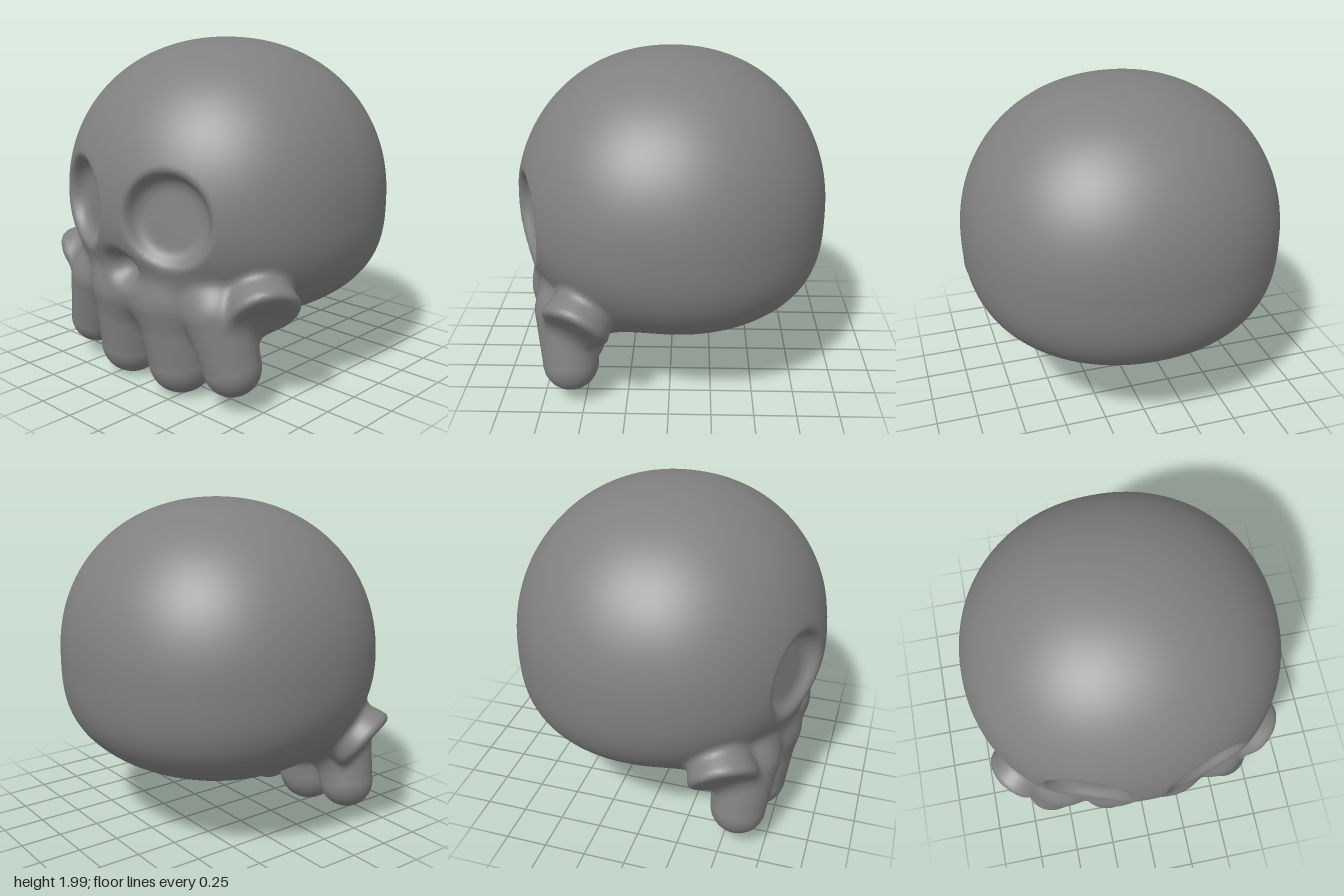
import * as THREE from 'three';

const V = (x, y, z) => new THREE.Vector3(x, y, z);

// Smooth blends of two distances
const smin = (a, b, k) => {
  const h = Math.max(k - Math.abs(a - b), 0) / k;
  return Math.min(a, b) - h * h * k * 0.25;
};
const smax = (a, b, k) => -smin(-a, -b, k);

// Basic forms; p is always on the +x half, the other half is mirrored
const ellipsoid = (p, c, r) => {
  const l = Math.hypot((p.x - c.x) / r.x, (p.y - c.y) / r.y, (p.z - c.z) / r.z);
  return (l - 1) * Math.min(r.x, r.y, r.z);
};
const capsule = (p, { a, b, r0, r1 }) => {
  const dx = b.x - a.x, dy = b.y - a.y, dz = b.z - a.z;
  const px = p.x - a.x, py = p.y - a.y, pz = p.z - a.z;
  const t = Math.min(1, Math.max(0, (px * dx + py * dy + pz * dz) / (dx * dx + dy * dy + dz * dz)));
  return Math.hypot(px - dx * t, py - dy * t, pz - dz * t) - (r0 + (r1 - r0) * t);
};
// Distance along an axis and away from it
const axial = (p, o, axis) => {
  const x = p.x - o.x, y = p.y - o.y, z = p.z - o.z;
  const t = x * axis.x + y * axis.y + z * axis.z;
  return [t, Math.sqrt(Math.max(0, x * x + y * y + z * z - t * t))];
};

// Round braincase with a flattened underside, fuller at the back
const cranium = (p) => {
  const v = (p.y - 1.07) / (p.y > 1.07 ? 0.93 : 0.735);
  const h = v > 0 ? Math.pow(v, 2.1) : Math.pow(-v, 2.55 - 0.6 * p.z);
  const r = Math.pow(p.x / 0.97, 2.1) + Math.pow(Math.abs(p.z) / 0.935, 2.1) + h;
  return (Math.pow(r, 1 / 2.1) - 1) * 0.85;
};

// Upper jaw and the gum behind the teeth
const JAW = [V(0, 0.6, 0.41), V(0.65, 0.27, 0.435)];
const GUM = [V(0, 0.51, 0.46), V(0.62, 0.19, 0.23)];
const jaw = (p) => smin(ellipsoid(p, ...JAW), ellipsoid(p, ...GUM), 0.06);

// Teeth, wider at the root
const INNER = { a: V(0.18, 0.55, 0.615), b: V(0.213, 0.195, 0.606), r0: 0.23, r1: 0.19 };
const OUTER = { a: V(0.5, 0.55, 0.595), b: V(0.587, 0.253, 0.58), r0: 0.195, r1: 0.165 };
const innerTooth = (p) => capsule(p, INNER);
const outerTooth = (p) => capsule(p, OUTER);

// Flared stub with a flat round end, facing out and down
const CHEEK_END = V(0.79, 0.575, 0.535);
const CHEEK_AXIS = V(0.68, -0.62, 0.38).normalize();
const cheekbone = (p) => {
  const [t, rho] = axial(p, CHEEK_END, CHEEK_AXIS);
  return smax(rho - 0.217 - 0.3 * t, Math.max(t, -0.3 - t), 0.06);
};

// Shallow socket with steep walls and a flat floor
const EYE_RIM = V(0.358, 1.078, 0.855);
const EYE_AXIS = V(0.375, 0.09, 0.92).normalize();
const eyeSocket = (p) => {
  const [t, rho] = axial(p, EYE_RIM, EYE_AXIS);
  return smax(rho - 0.253 - 0.15 * t, -0.11 - t, 0.09);
};
const NOSE = [V(0, 0.755, 0.89), V(0.11, 0.095, 0.14)];
const noseHole = (p) => ellipsoid(p, ...NOSE);

// The whole skull as one blended field: negative inside
const q = V(0, 0, 0);
function field(x, y, z) {
  q.set(Math.abs(x), y, z);
  let d = smin(cranium(q), jaw(q), 0.1);
  d = smin(d, smin(innerTooth(q), outerTooth(q), 0.025), 0.07);
  d = smin(d, cheekbone(q), 0.05);
  d = smax(d, -eyeSocket(q), 0.05);
  return smax(d, -noseHole(q), 0.07);
}

// Named parts; each face goes to the part whose surface it lies nearest to
const PARTS = {
  Cranium: cranium, Jaw: jaw, InnerTooth: innerTooth, OuterTooth: outerTooth, Cheekbone: cheekbone,
  EyeSocket: (p) => Math.abs(eyeSocket(p)) - 0.02,
  NoseHole: (p) => Math.abs(noseHole(p)) - 0.02,
};
function partAt(x, y, z) {
  q.set(Math.abs(x), y, z);
  let best = '', least = Infinity;
  for (const [name, dist] of Object.entries(PARTS)) {
    const d = dist(q);
    if (d < least) { least = d; best = name; }
  }
  return (x > 0 ? 'left' : 'right') + best;
}

// Wraps a smooth skin round the field: one vertex per crossed cell, one quad per crossed edge
function buildSkin() {
  const S = 0.02, O = [-1.02, -0.06, -1.0], N = [103, 106, 101];
  const step = [1, N[0], N[0] * N[1]];
  const total = N[0] * N[1] * N[2];
  const val = new Float32Array(total), cell = new Int32Array(total).fill(-1);
  const each = (fn) => {
    for (let k = 0, i = 0; k < N[2]; k++)
      for (let j = 0; j < N[1]; j++)
        for (let h = 0; h < N[0]; h++, i++) fn(i, [h, j, k]);
  };
  each((i, c) => { val[i] = field(...c.map((n, a) => O[a] + n * S)); });

  const pos = [], nor = [], parts = {}, e = 0.005;
  each((i, c) => {
    if (c.some((n, a) => n >= N[a] - 1)) return;
    const sum = [0, 0, 0];
    let hits = 0;
    for (let corner = 0; corner < 8; corner++) {
      const bits = [corner & 1, (corner >> 1) & 1, corner >> 2];
      const from = i + bits[0] * step[0] + bits[1] * step[1] + bits[2] * step[2];
      for (let a = 0; a < 3; a++) {
        if (bits[a]) continue;
        const v0 = val[from], v1 = val[from + step[a]];
        if (v0 < 0 === v1 < 0) continue;
        for (let b = 0; b < 3; b++) sum[b] += bits[b] + (b === a ? v0 / (v0 - v1) : 0);
        hits++;
      }
    }
    if (!hits) return;
    cell[i] = pos.length / 3;
    const [x, y, z] = sum.map((s, a) => O[a] + (c[a] + s / hits) * S);
    const n = V(field(x + e, y, z) - field(x - e, y, z), field(x, y + e, z) - field(x, y - e, z),
      field(x, y, z + e) - field(x, y, z - e)).normalize();
    pos.push(x, y, z);
    nor.push(n.x, n.y, n.z);
  });

  each((i, c) => {
    for (let a = 0; a < 3; a++) {
      const u = (a + 1) % 3, v = (a + 2) % 3;
      if (c[a] >= N[a] - 1 || !c[u] || !c[v]) continue;
      const inside = val[i] < 0;
      if (inside === val[i + step[a]] < 0) continue;
      const quad = [i - step[u] - step[v], i - step[v], i, i - step[u]].map((n) => cell[n]);
      if (!inside) quad.reverse();
      const [A, B, C, D] = quad;
      const mid = [0, 1, 2].map((n) => (pos[A * 3 + n] + pos[C * 3 + n]) / 2);
      (parts[partAt(...mid)] ??= []).push(A, B, C, A, C, D);
    }
  });
  return {
    position: new THREE.Float32BufferAttribute(pos, 3),
    normal: new THREE.Float32BufferAttribute(nor, 3),
    parts,
  };
}

export function createModel() {
  const group = new THREE.Group();
  group.name = 'skull';
  const bone = new THREE.MeshStandardMaterial({ color: 0x808080 });
  bone.name = 'greyBone';
  const { position, normal, parts } = buildSkin();
  for (const [name, index] of Object.entries(parts)) {
    const geo = new THREE.BufferGeometry();
    geo.setAttribute('position', position);
    geo.setAttribute('normal', normal);
    geo.setIndex(index);
    const mesh = new THREE.Mesh(geo, bone);
    mesh.name = name;
    group.add(mesh);
  }
  return group;
}
